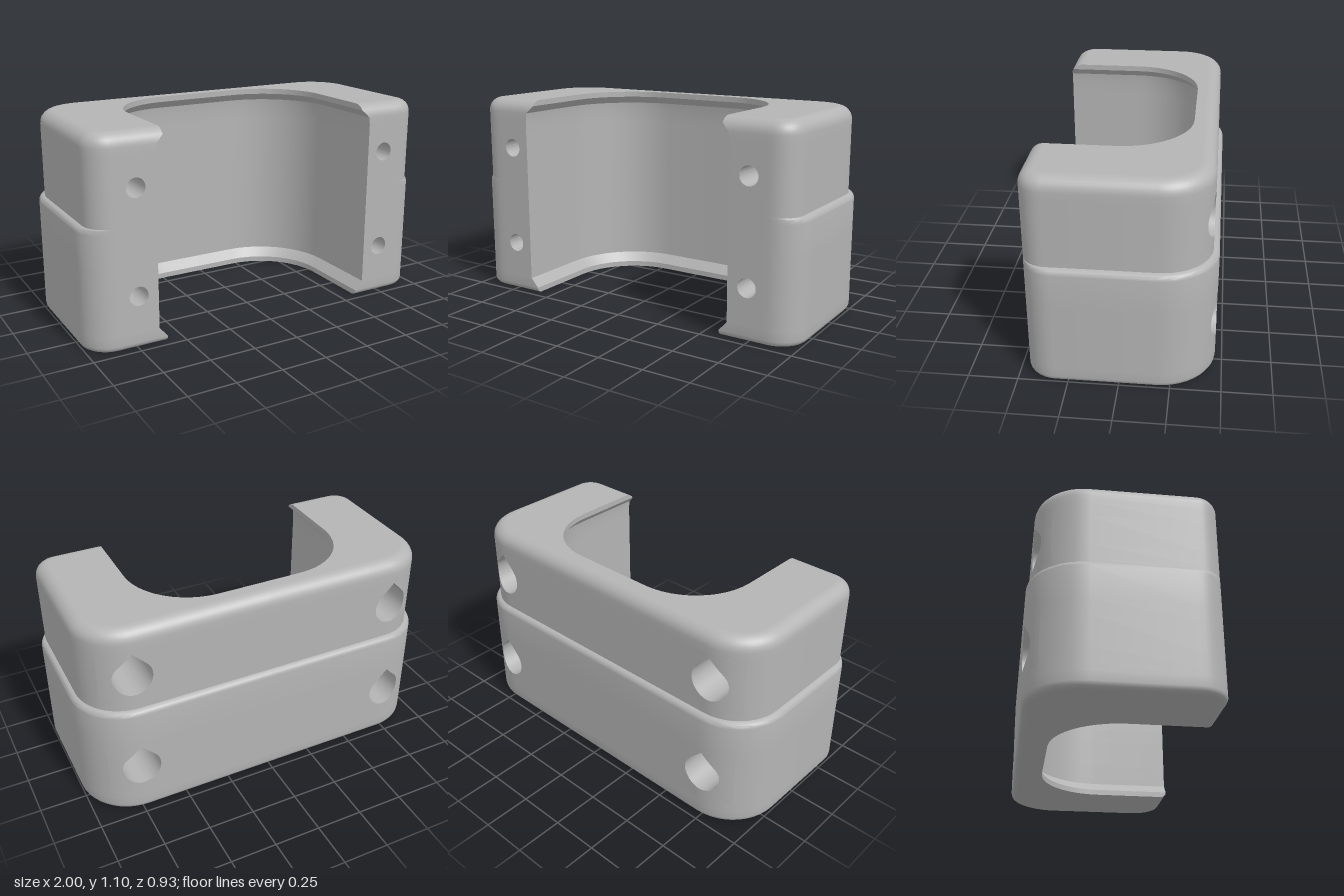
import * as THREE from 'three';
import { toCreasedNormals } from 'three/addons/utils/BufferGeometryUtils.js';

const HOLE_X = 0.74, BORE = 0.05, TEAR = 0.1, SEAT_Z = 0.05, FRONT_Z = 0.465;
const FRONT_PATCH = 0.08, BACK_PATCH = 0.16;
const CORNER_X = 0.72, CORNER_Z = -0.185; // centre of the large back corners

// The two stacked tiers: base corner radius, screw height and section heights
const tiers = [
  { radius: 0.28, holeY: 0.275,
    ys: [0, 0.001, 0.004, 0.01, 0.019, 0.03, 0.08, 0.115, 0.195, 0.355, 0.435, 0.61, 0.62, 0.63, 0.637, 0.64] },
  { radius: 0.25, holeY: 0.825,
    ys: [0.64, 0.665, 0.745, 0.905, 0.985, 1.025, 1.04, 1.055, 1.065, 1.075, 1.085, 1.091, 1.094, 1.095] },
];

// Inset of a quarter-round edge of radius r at height h into it
const round = (r, h) => (h <= 0 ? 0 : r - Math.sqrt(Math.max(0, r * r - h * h)));

// Half width of the opening: narrow lips with chamfers at both ends
function openingX(y) {
  const rise = Math.min(y - 0.03, 1.065 - y);
  return 0.59 + 0.045 * THREE.MathUtils.clamp(rise / 0.045, 0, 1);
}

// Half outline at height y: inner wall, front face, side, back
function section(y, tier, upper) {
  const edge = upper ? round(0.07, y - 1.025) : round(0.03, 0.03 - y);
  const side = edge + (upper ? 0.03 : round(0.03, y - 0.61));
  const f = FRONT_Z - edge, rb = 0.28 - side, rf = 0.15 - side;
  const xi = openingX(y), ri = xi - 0.23;
  const pts = [];
  const add = (x, z) => pts.push(new THREE.Vector3(x, y, z));
  const arc = (cx, cz, r, zSign, t0, t1, n, first = 0) => {
    for (let i = first; i <= n; i++) {
      const t = t0 + (t1 - t0) * i / n;
      add(cx + r * Math.sin(t), cz + zSign * r * Math.cos(t));
    }
  };
  const q = Math.PI / 2, split = Math.asin((HOLE_X + BACK_PATCH - CORNER_X) / tier.radius);
  add(0, 0.05 - ri);
  arc(0.23, 0.05, ri, -1, 0, q, 12);
  add(xi, f);
  add(HOLE_X - FRONT_PATCH, f);
  add(HOLE_X + FRONT_PATCH, f);
  arc(0.85, f - rf, rf, 1, 0, q, 8);
  arc(CORNER_X, CORNER_Z, rb, -1, q, split, 6);
  arc(CORNER_X, CORNER_Z, rb, -1, split, 0, 6, 1);
  add(HOLE_X - BACK_PATCH, CORNER_Z - rb);
  add(0, CORNER_Z - rb);
  return pts;
}

// Triangle list that also writes the mirrored half
function makeSoup() {
  const data = [];
  const put = (p, s) => data.push(s * p.x, p.y, p.z);
  const tri = (a, b, c) => {
    put(a, 1); put(b, 1); put(c, 1);
    put(a, -1); put(c, -1); put(b, -1);
  };
  const loft = (rows, skip = () => false) => {
    for (let i = 0; i + 1 < rows.length; i++) {
      for (let j = 0; j + 1 < rows[i].length; j++) {
        if (skip(i, j)) continue;
        const a = rows[i][j], b = rows[i][j + 1], c = rows[i + 1][j + 1], d = rows[i + 1][j];
        tri(a, b, c);
        tri(a, c, d);
      }
    }
  };
  const geometry = () => {
    const g = new THREE.BufferGeometry();
    g.setAttribute('position', new THREE.Float32BufferAttribute(data, 3));
    return g;
  };
  return { tri, loft, geometry };
}

// Screw hole: back patch, teardrop recess, seat, round bore, front patch
function holeRows(tier) {
  const N = 64;
  const loop = (radius, z) => Array.from({ length: N + 1 }, (_, k) => {
    const t = -2 * Math.PI * (k % N) / N, r = radius(t);
    const x = HOLE_X + r * Math.cos(t), y = tier.holeY + r * Math.sin(t);
    return new THREE.Vector3(x, y, typeof z === 'function' ? z(x) : z);
  });
  const square = h => t => h / Math.max(Math.abs(Math.cos(t)), Math.abs(Math.sin(t)));
  const circle = () => BORE;
  const tear = t => {
    const off = Math.abs(Math.atan2(Math.cos(t), Math.sin(t))); // angle from straight up
    return off < Math.PI / 4 ? TEAR / Math.cos(Math.PI / 4 - off) : TEAR;
  };
  const backZ = x => {
    const dx = Math.max(0, x - CORNER_X);
    return CORNER_Z - Math.sqrt(tier.radius ** 2 - dx * dx);
  };
  const rows = [];
  for (let i = 0; i <= 4; i++) {
    rows.push(loop(t => THREE.MathUtils.lerp(square(BACK_PATCH)(t), tear(t), i / 4), backZ));
  }
  rows.push(loop(tear, SEAT_Z), loop(circle, SEAT_Z), loop(circle, FRONT_Z), loop(square(FRONT_PATCH), FRONT_Z));
  return rows;
}

// Flat end face from a half outline
function endFace(outline, up) {
  const soup = makeSoup();
  const flat = outline.map(p => new THREE.Vector2(p.x, p.z));
  for (const [i, j, k] of THREE.ShapeUtils.triangulateShape(flat, [])) {
    const a = outline[i], b = outline[j], c = outline[k];
    const ny = (b.z - a.z) * (c.x - a.x) - (b.x - a.x) * (c.z - a.z);
    if ((ny > 0) === up) soup.tri(a, b, c);
    else soup.tri(a, c, b);
  }
  const g = soup.geometry();
  g.computeVertexNormals();
  return g;
}

export function createModel() {
  const group = new THREE.Group();
  group.name = 'clampBracket';
  const grey = new THREE.MeshStandardMaterial({ color: 0xb4b4b4, side: THREE.DoubleSide });
  grey.name = 'grey plastic';
  const addMesh = (name, geometry) => {
    const mesh = new THREE.Mesh(geometry, grey);
    mesh.name = name;
    group.add(mesh);
  };

  tiers.forEach((tier, n) => {
    const rows = tier.ys.map(y => section(y, tier, n === 1));
    const soup = makeSoup();
    // Walls, leaving windows where the screw holes go
    soup.loft(rows, (i, j) => {
      const dy = Math.abs((tier.ys[i] + tier.ys[i + 1]) / 2 - tier.holeY);
      return (j === 15 && dy < FRONT_PATCH) || (j >= 32 && j <= 38 && dy < BACK_PATCH);
    });
    soup.loft(holeRows(tier));
    addMesh(n ? 'upperTier' : 'lowerTier', toCreasedNormals(soup.geometry(), 0.6));
    if (n) addMesh('topFace', endFace(rows[rows.length - 1], true));
    else addMesh('bottomFace', endFace(rows[0], false));
  });
  return group;
}
